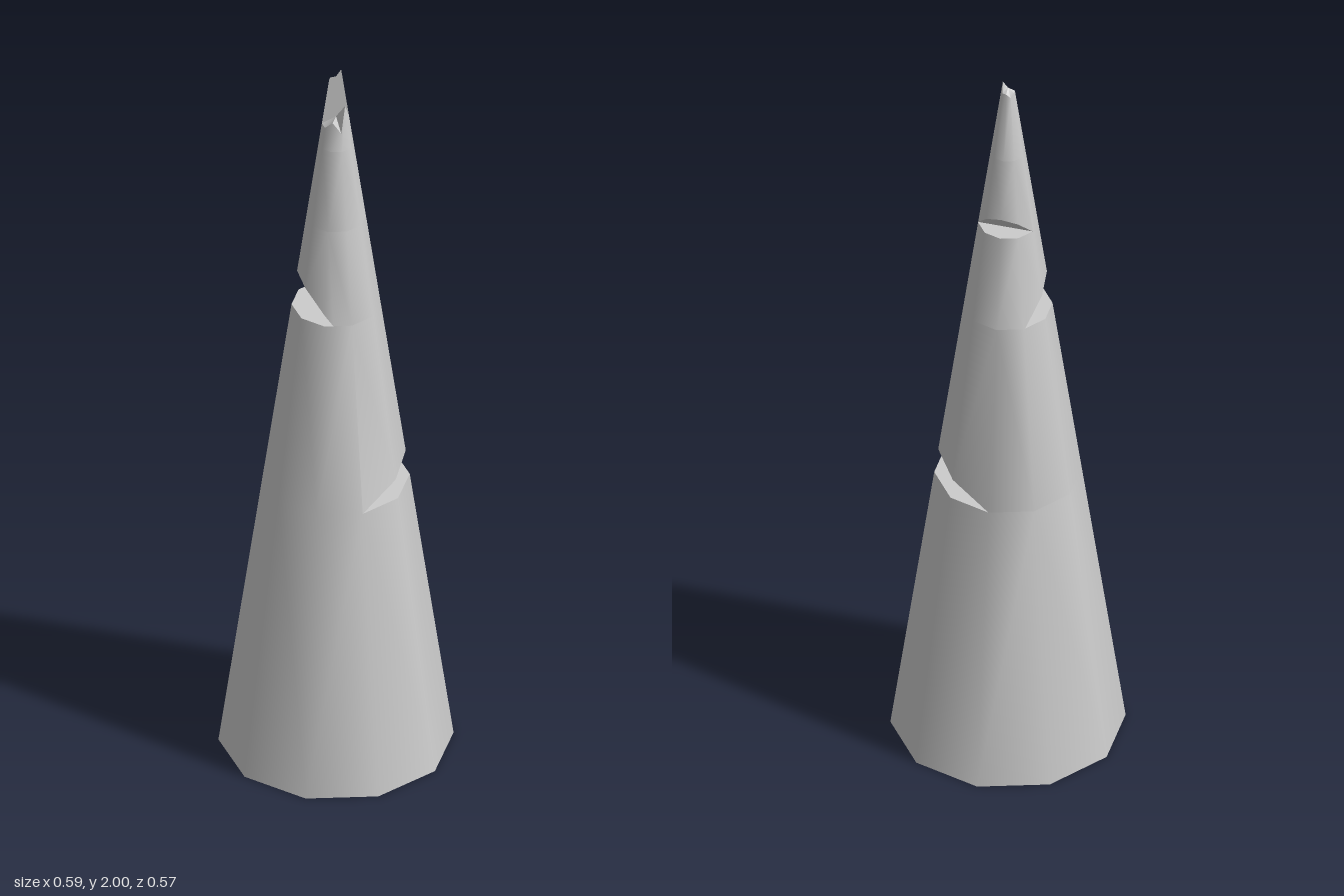
import * as THREE from 'three';
import { ConvexGeometry } from 'three/addons/geometries/ConvexGeometry.js';
import { toCreasedNormals } from 'three/addons/utils/BufferGeometryUtils.js';

const SIDES = 10;
const TURN = -4;
const rad = THREE.MathUtils.degToRad;
const radiusAt = (y) => 0.295 - 0.141 * y;

// Corner i of the ten-sided taper at height y
function corner(i, y) {
  const a = rad(TURN + (i * 360) / SIDES);
  return new THREE.Vector3(radiusAt(y) * Math.cos(a), y, radiusAt(y) * Math.sin(a));
}

// Section of the taper, with an optional wedge cut from its lower edge
function section(y0, y1, notch) {
  const keep = [];
  const depth = (p) => {
    if (!notch) return 1;
    const a = rad(notch.angle);
    return notch.inner + (p.y - y0) / notch.slope - p.x * Math.cos(a) - p.z * Math.sin(a);
  };
  const cutEdge = (p, q) => {
    const dp = depth(p), dq = depth(q);
    if (dp * dq < 0) keep.push(p.clone().lerp(q, dp / (dp - dq)));
  };
  for (let i = 0; i < SIDES; i++) {
    const low = corner(i, y0), high = corner(i, y1);
    for (const p of [low, high]) if (depth(p) >= 0) keep.push(p);
    cutEdge(low, high);
    cutEdge(low, corner(i + 1, y0));
  }
  return new ConvexGeometry(keep);
}

// Splintered tip: a low jagged front half and a tall back half
function brokenTip(y0) {
  const pos = [];
  const tri = (...pts) => pts.forEach((p) => pos.push(p.x, p.y, p.z));
  const half = (start, heights, middle) => {
    const top = heights.map((h, k) => corner(start + k, h));
    for (let k = 0; k < 5; k++) {
      const a = corner(start + k, y0), b = corner(start + k + 1, y0);
      tri(a, top[k], b);
      tri(b, top[k], top[k + 1]);
      tri(middle, top[k + 1], top[k]);
    }
    return top;
  };
  const frontMid = new THREE.Vector3(0, 1.86, 0);
  const backMid = new THREE.Vector3(0, 1.98, 0);
  const front = half(0, [1.86, 1.9, 1.83, 1.86, 1.84, 1.84], frontMid);
  const back = half(5, [1.97, 1.97, 1.96, 1.97, 1.97, 2.0], backMid);
  // Upright break between the halves
  tri(front[5], frontMid, back[0]);
  tri(back[0], frontMid, backMid);
  tri(frontMid, front[0], backMid);
  tri(backMid, front[0], back[5]);
  const geo = new THREE.BufferGeometry();
  geo.setAttribute('position', new THREE.Float32BufferAttribute(pos, 3));
  return geo;
}

export function createModel() {
  const group = new THREE.Group();
  group.name = 'notchedSpike';
  const material = new THREE.MeshStandardMaterial({ color: 0xcccccc, side: THREE.DoubleSide });
  const add = (name, geo) => {
    const mesh = new THREE.Mesh(toCreasedNormals(geo, 0.7), material);
    mesh.name = name;
    group.add(mesh);
  };

  // Stacked trunk sections; each notch opens along the section's lower edge
  add('base', section(0, 0.78));
  add('lowerShaft', section(0.78, 1.3, { angle: -4, inner: 0.058, slope: 0.61 }));
  add('middleShaft', section(1.3, 1.56, { angle: 169, inner: 0.025, slope: 1.39 }));
  add('upperShaft', section(1.56, 1.78, { angle: -75, inner: 0.023, slope: 1.2 }));
  add('brokenTip', brokenTip(1.78));
  return group;
}
